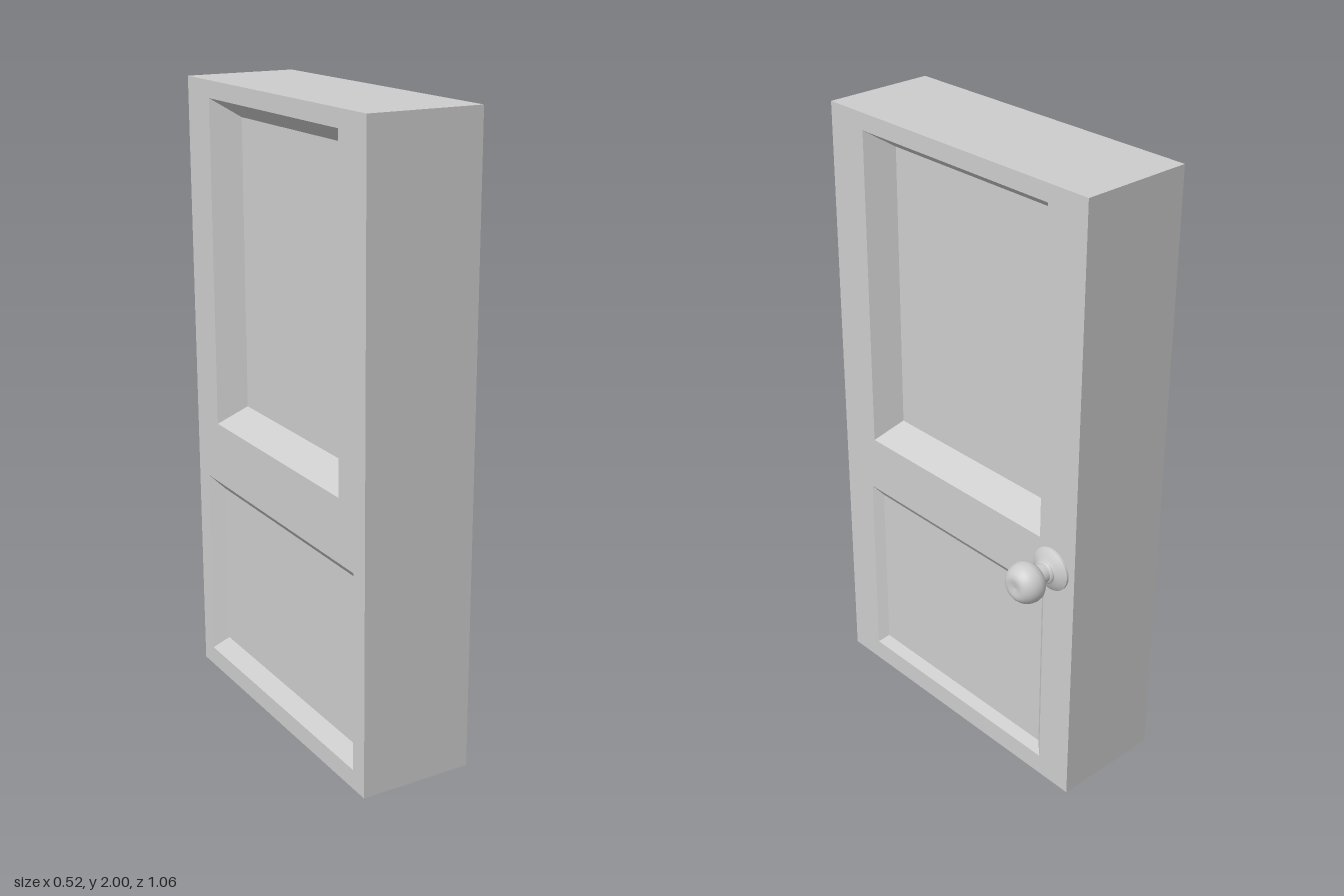
import * as THREE from 'three';

const HALF_WIDTH = 0.53, HEIGHT = 2, FRONT = 0.105, BACK = 0.262;
const material = new THREE.MeshStandardMaterial({ color: 0xcccccc, side: THREE.DoubleSide });

function addMesh(parent, geometry, name) {
  const mesh = new THREE.Mesh(geometry, material);
  mesh.name = name;
  parent.add(mesh);
  return mesh;
}

// Corners of an upright rectangle centred on x = 0, counter-clockwise
const corners = (w, y0, y1, z) => [[-w, y0, z], [w, y0, z], [w, y1, z], [-w, y1, z]];

// Four flat walls joining two rectangles, optionally closed by the second one
function walls(a, b, closed) {
  const points = [];
  const quad = (p, q, r, s) => points.push(...p, ...q, ...r, ...p, ...r, ...s);
  for (let i = 0; i < 4; i++) {
    const j = (i + 1) % 4;
    quad(a[i], a[j], b[j], b[i]);
  }
  if (closed) quad(...b);
  const geometry = new THREE.BufferGeometry();
  geometry.setAttribute('position', new THREE.Float32BufferAttribute(points, 3));
  geometry.computeVertexNormals();
  return geometry;
}

// One broad door face: a flat frame with bevelled, sunken panels
function doorFace(name, offset, panels) {
  const face = new THREE.Group();
  face.name = name;
  const outline = (Kind, w, y0, y1) =>
    new Kind(corners(w, y0, y1, 0).map(([x, y]) => new THREE.Vector2(x, y)));
  const frame = outline(THREE.Shape, HALF_WIDTH, 0, HEIGHT);
  for (const { label, w, y0, y1, insetX, insetY, depth } of panels) {
    frame.holes.push(outline(THREE.Path, w, y0, y1));
    const rim = corners(w, y0, y1, offset);
    const floor = corners(w - insetX, y0 + insetY, y1 - insetY, offset - depth);
    addMesh(face, walls(rim, floor, true), label);
  }
  addMesh(face, new THREE.ShapeGeometry(frame), 'faceFrame').position.z = offset;
  return face;
}

export function createModel() {
  const door = new THREE.Group();
  door.name = 'door';

  // Narrow edges all round the slab
  const edges = addMesh(door, walls(
    corners(HALF_WIDTH, 0, HEIGHT, -BACK), corners(HALF_WIDTH, 0, HEIGHT, FRONT), false), 'slabEdges');
  edges.rotation.y = Math.PI / 2;

  // Panelled faces
  const upper = { label: 'upperPanel', w: 0.385, y0: 0.902, y1: 1.946, insetX: 0.045, insetY: 0.058, depth: 0.087 };
  const lower = { label: 'lowerPanel', w: 0.405, y0: 0.07, y1: 0.717, insetX: 0.029, insetY: 0.032, depth: 0.024 };
  const lowerBack = { label: 'lowerPanel', w: 0.467, y0: 0.063, y1: 0.7, insetX: 0.04, insetY: 0.045, depth: 0.042 };
  const knobFace = doorFace('knobSideFace', FRONT, [upper, lower]);
  knobFace.rotation.y = Math.PI / 2;
  const plainFace = doorFace('plainSideFace', BACK, [upper, lowerBack]);
  plainFace.rotation.y = -Math.PI / 2;
  door.add(knobFace, plainFace);

  // Turned knob parts, profiles given as [radius, distance out from the door]
  const knob = new THREE.Group();
  knob.name = 'knob';
  const turned = (profile, name) => addMesh(knob,
    new THREE.LatheGeometry(profile.map(([r, h]) => new THREE.Vector2(r, h)), 32), name);
  turned([[0.07, 0], [0.07, 0.007]], 'roseRim');
  turned([[0.07, 0.007], [0.062, 0.013], [0.05, 0.02], [0.04, 0.024], [0.036, 0.027]], 'rose');
  turned([[0.036, 0.027], [0.036, 0.036], [0.03, 0.037]], 'collar');
  turned([[0.03, 0.036], [0.03, 0.07]], 'neck');
  turned([[0.03, 0.063], [0.042, 0.068], [0.054, 0.077], [0.062, 0.088], [0.065, 0.104],
    [0.062, 0.122], [0.055, 0.136], [0.045, 0.147], [0.034, 0.153], [0.022, 0.153], [0, 0.149]], 'grip');
  knob.rotation.z = -Math.PI / 2;
  knob.position.set(FRONT, 0.817, -0.437);
  door.add(knob);

  return door;
}
